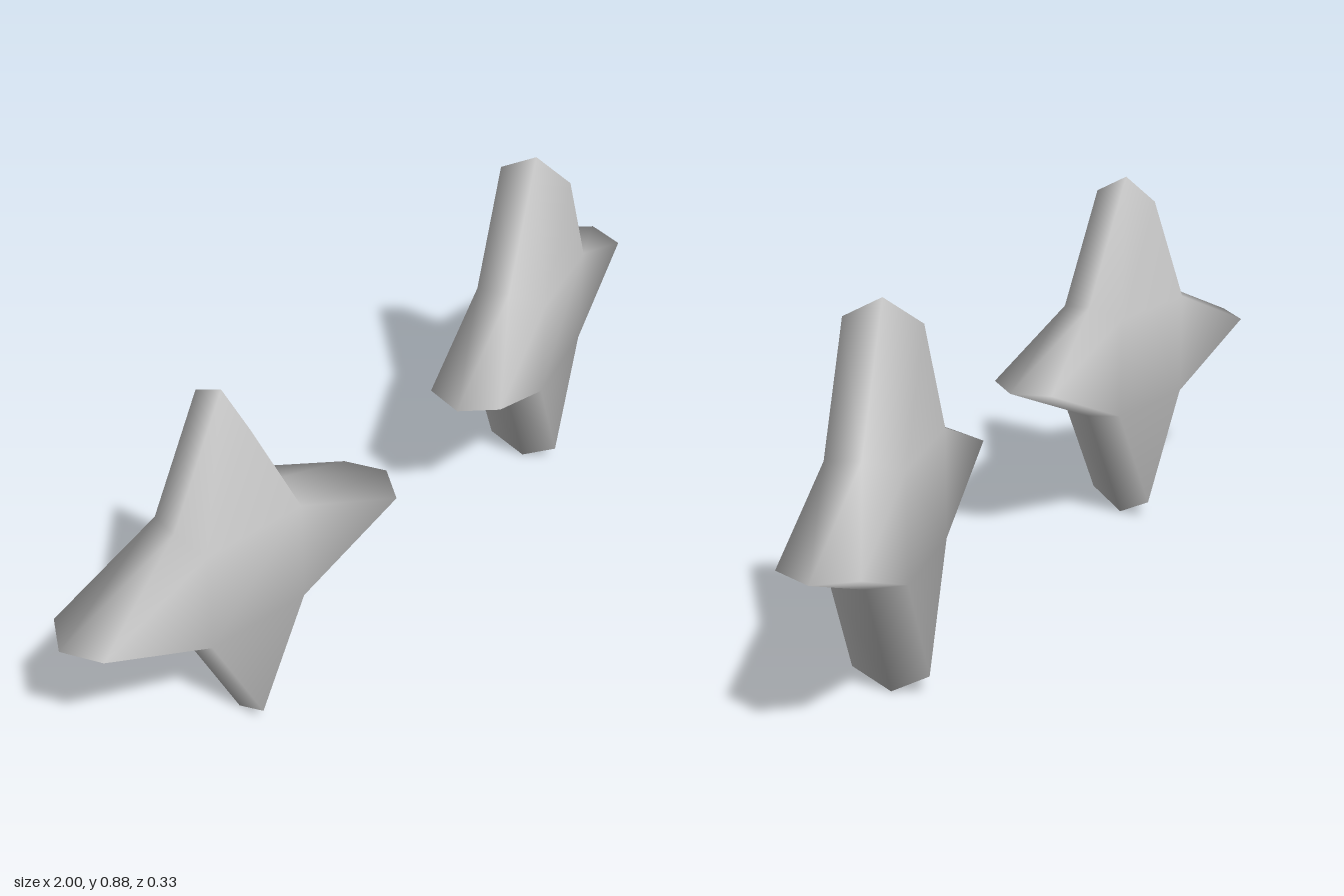
import * as THREE from 'three';

// Four-pointed star: three rings of eight corners (back face, wide middle ridge, front face)
function starGeometry() {
  const rings = [
    { tip: 0.392, inner: 0.125, z: -0.0875 },
    { tip: 0.44, inner: 0.14, z: 0 },
    { tip: 0.392, inner: 0.125, z: 0.0875 },
  ];
  const positions = [];
  for (const { tip, inner, z } of rings) {
    for (let i = 0; i < 8; i++) {
      const r = i % 2 ? inner * Math.SQRT2 : tip;
      const a = (i * Math.PI) / 4;
      positions.push(r * Math.cos(a), r * Math.sin(a), z);
    }
  }

  const index = [];
  // Bevelled sides
  for (let ring = 0; ring < 2; ring++) {
    for (let i = 0; i < 8; i++) {
      const a = ring * 8 + i;
      const b = ring * 8 + ((i + 1) % 8);
      index.push(a, b, b + 8, a, b + 8, a + 8);
    }
  }
  // Flat faces: four points and a square middle
  const cap = [[1, 3, 5], [1, 5, 7]];
  for (let i = 0; i < 8; i += 2) cap.push([(i + 7) % 8, i, i + 1]);
  for (const [a, b, c] of cap) {
    index.push(16 + a, 16 + b, 16 + c);
    index.push(a, c, b);
  }

  const geometry = new THREE.BufferGeometry();
  geometry.setAttribute('position', new THREE.Float32BufferAttribute(positions, 3));
  geometry.setIndex(index);
  geometry.computeVertexNormals(); // shared corners give the soft shading
  return geometry;
}

export function createModel() {
  const group = new THREE.Group();
  group.name = 'starPair';
  const material = new THREE.MeshStandardMaterial({ color: 0xcccccc });
  material.name = 'light grey';
  const geometry = starGeometry();

  // Mirrored pair, each turned slightly outward
  for (const side of [1, -1]) {
    const star = new THREE.Mesh(geometry, material);
    star.name = side > 0 ? 'leftStar' : 'rightStar';
    star.position.set(side * 0.567, 0.44, 0);
    star.rotation.y = side * THREE.MathUtils.degToRad(11.7);
    group.add(star);
  }
  return group;
}
